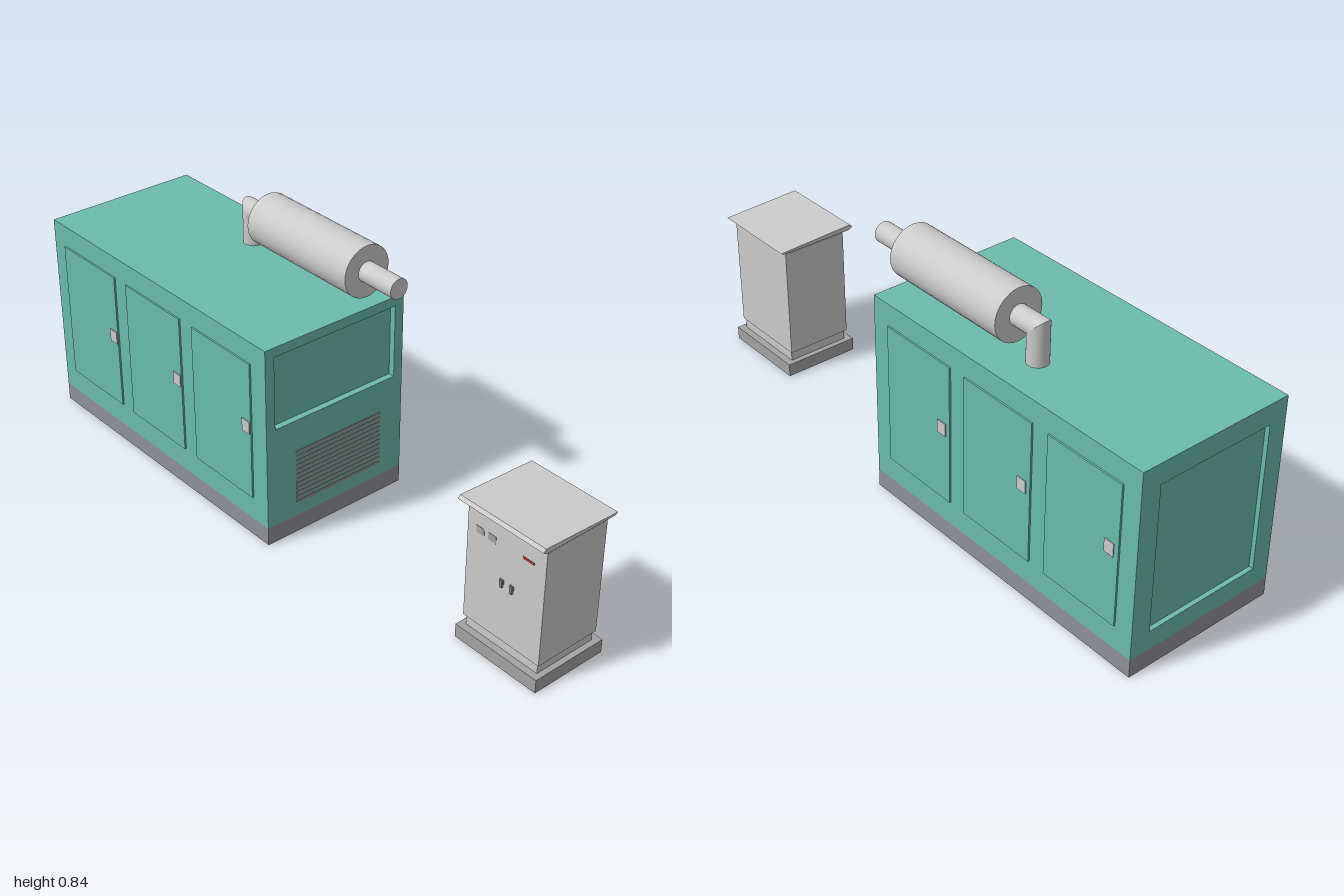
import * as THREE from 'three';

const mat = (color, opts = {}) => new THREE.MeshStandardMaterial({ color, ...opts });

export function createModel() {
  const model = new THREE.Group();
  const green = mat(0x6bbcad), grey = mat(0xcccccc), dark = mat(0x909098);
  const ventGrey = mat(0x939393), plinthGrey = mat(0xa3a3a3), red = mat(0xb04038);

  const add = (parent, name, geometry, material) => {
    const mesh = new THREE.Mesh(geometry, material);
    mesh.name = name;
    parent.add(mesh);
    return mesh;
  };
  // Box given by its limits on each axis
  const box = (parent, name, material, x0, x1, y0, y1, z0, z1) => {
    const g = new THREE.BoxGeometry(x1 - x0, y1 - y0, z1 - z0);
    g.translate((x0 + x1) / 2, (y0 + y1) / 2, (z0 + z1) / 2);
    return add(parent, name, g, material);
  };
  const group = (name) => {
    const g = new THREE.Group();
    g.name = name;
    model.add(g);
    return g;
  };

  // ---- Generator enclosure ----
  const generator = group('generator');
  const L = -0.255, R = 0.257, FLOOR = 0.058, TOP = 0.656, BACK = -1, FRONT = 0.055;
  box(generator, 'enclosureCore', green, L, R, FLOOR, TOP, BACK + 0.014, FRONT - 0.02);

  // End walls with a rectangular recess
  const endWall = (name, x0, x1, y0, y1, z, depth) => {
    const rect = (P, a, b, c, d) =>
      new P([[a, c], [b, c], [b, d], [a, d]].map(([x, y]) => new THREE.Vector2(x, y)));
    const shape = rect(THREE.Shape, L, R, FLOOR, TOP);
    shape.holes.push(rect(THREE.Path, x0, x1, y0, y1));
    const g = new THREE.ExtrudeGeometry(shape, { depth, bevelEnabled: false });
    g.translate(0, 0, z);
    add(generator, name, g, green);
  };
  endWall('frontWall', -0.223, 0.225, 0.388, 0.625, FRONT - 0.02, 0.02);
  endWall('backWall', -0.195, 0.192, 0.12, 0.59, BACK, 0.014);

  // Louvre slats on the front
  for (let i = 0; i < 12; i++) {
    const y = 0.105 + i * 0.0158;
    box(generator, 'ventSlat', ventGrey, -0.148, 0.175, y - 0.005, y + 0.005, FRONT - 0.004, FRONT + 0.001);
  }

  // Three doors with latches on each side
  for (const side of [1, -1]) {
    const wall = side > 0 ? R : L;
    const span = (out) => [wall - side * 0.004, wall + side * out].sort((a, b) => a - b);
    for (let i = 0; i < 3; i++) {
      const z1 = -0.01 - i * 0.33, z0 = z1 - 0.27;
      const latch = side > 0 ? z0 + 0.032 : z1 - 0.02;
      box(generator, 'sideDoor', green, ...span(0.0055), 0.136, 0.587, z0, z1);
      box(generator, 'doorLatch', grey, ...span(0.0085), 0.355, 0.396, latch - 0.017, latch + 0.017);
    }
  }

  // Open base skirt with the floor above it
  const skirtMat = mat(0x909098, { side: THREE.DoubleSide });
  const skirt = new THREE.Shape([[L, BACK], [R, BACK], [R, FRONT], [L, FRONT]]
    .map(([x, z]) => new THREE.Vector2(x, -z)));
  const t = 0.004;
  skirt.holes.push(new THREE.Path([[L + t, BACK + t], [R - t, BACK + t], [R - t, FRONT - t], [L + t, FRONT - t]]
    .map(([x, z]) => new THREE.Vector2(x, -z))));
  const skirtGeo = new THREE.ExtrudeGeometry(skirt, { depth: FLOOR, bevelEnabled: false });
  skirtGeo.rotateX(-Math.PI / 2);
  add(generator, 'baseSkirt', skirtGeo, skirtMat);
  box(generator, 'floorPan', dark, L + t, R - t, FLOOR - 0.003, FLOOR, BACK + t, FRONT - t);

  // ---- Exhaust ----
  const exhaust = group('exhaust');
  const X = 0.131, Y = 0.762, ELBOW = -0.483, PIPE = 0.032;
  const along = (name, r, z0, z1) => {
    const g = new THREE.CylinderGeometry(r, r, z1 - z0, 32);
    g.rotateX(Math.PI / 2);
    g.translate(X, Y, (z0 + z1) / 2);
    return add(exhaust, name, g, grey);
  };
  along('muffler', 0.082, -0.405, 0.035);
  along('outletPipe', PIPE, 0.03, 0.17);

  // Two pipes sheared to meet in a mitred elbow
  const inlet = along('inletPipe', PIPE, ELBOW, -0.4).geometry.attributes.position;
  for (let i = 0; i < inlet.count; i++) {
    if (inlet.getZ(i) < -0.45) inlet.setZ(i, ELBOW - (inlet.getY(i) - Y));
  }
  const riserGeo = new THREE.CylinderGeometry(PIPE, PIPE, Y - TOP + 0.004, 32, 1, true);
  riserGeo.translate(X, (Y + TOP - 0.004) / 2, ELBOW);
  const riser = riserGeo.attributes.position;
  for (let i = 0; i < riser.count; i++) {
    if (riser.getY(i) > 0.7) riser.setY(i, Y - (riser.getZ(i) - ELBOW));
  }
  add(exhaust, 'riserPipe', riserGeo, grey);

  // ---- Control cabinet ----
  const cabinet = group('controlCabinet');
  box(cabinet, 'cabinetFoot', plinthGrey, -0.123, 0.132, 0, 0.043, 0.7, 1);
  box(cabinet, 'cabinetPlinth', grey, -0.101, 0.109, 0.043, 0.077, 0.718, 0.982);
  box(cabinet, 'cabinetBody', grey, -0.107, 0.113, 0.076, 0.442, 0.711, 0.99);
  box(cabinet, 'cabinetNeck', grey, -0.101, 0.109, 0.442, 0.457, 0.718, 0.982);

  // Sloping roof
  const roof = new THREE.Shape([[-0.123, 0.454], [0.13, 0.454], [0.139, 0.46], [-0.126, 0.471], [-0.135, 0.462]]
    .map(([x, y]) => new THREE.Vector2(x, y)));
  const roofGeo = new THREE.ExtrudeGeometry(roof, { depth: 0.304, bevelEnabled: false });
  roofGeo.translate(0, 0, 0.696);
  add(cabinet, 'cabinetRoof', roofGeo, grey);

  // Handles, label plates and indicator on the door side
  for (const z of [0.844, 0.88]) {
    box(cabinet, 'cabinetHandle', dark, -0.114, -0.106, 0.25, 0.272, z - 0.004, z + 0.004);
    box(cabinet, 'handleBoss', dark, -0.11, -0.106, 0.262, 0.274, z - 0.007, z + 0.007);
  }
  for (const z of [0.757, 0.8]) {
    box(cabinet, 'labelPlate', plinthGrey, -0.108, -0.106, 0.37, 0.392, z - 0.014, z + 0.014);
  }
  box(cabinet, 'indicatorStrip', red, -0.108, -0.106, 0.38, 0.388, 0.91, 0.95);

  return model;
}
